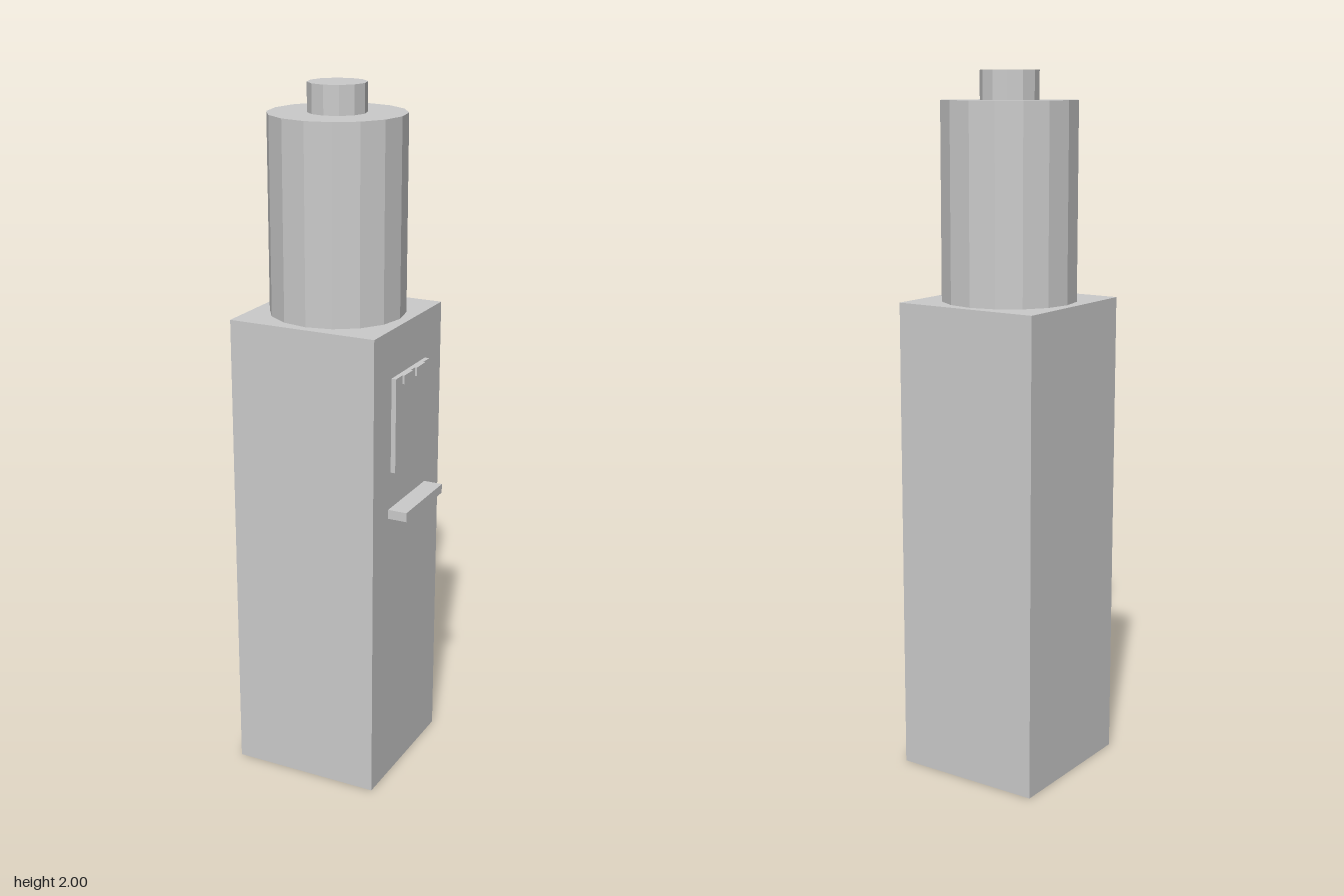
import * as THREE from 'three';

const material = new THREE.MeshStandardMaterial({ color: 0xcccccc, flatShading: true });

export function createModel() {
  const group = new THREE.Group();
  const centreX = -0.0285; // axis of cabinet and bottle
  const sideX = 0.191; // outer face of the cabinet's dispensing side

  const add = (name, geometry, x, y, z) => {
    const mesh = new THREE.Mesh(geometry, material);
    mesh.name = name;
    mesh.position.set(x, y, z);
    group.add(mesh);
  };

  // Fitting that stands out from the dispensing side
  const addFitting = (name, fromX, toX, bottom, top, width, z = 0) =>
    add(name, new THREE.BoxGeometry(toX - fromX, top - bottom, width),
      (fromX + toX) / 2, (bottom + top) / 2, z);

  // Upright faceted cylinder on the bottle axis
  const addDrum = (name, radius, bottom, top, sides) =>
    add(name, new THREE.CylinderGeometry(radius, radius, top - bottom, sides),
      centreX, (bottom + top) / 2, 0);

  // Cabinet
  add('cabinet', new THREE.BoxGeometry(0.439, 1.37, 0.439), centreX, 0.685, 0);

  // Water bottle with its neck
  addDrum('bottle', 0.192, 1.37, 1.92, 16);
  addDrum('bottleNeck', 0.082, 1.92, 2, 12);

  // Dispensing panel, pair of taps and drip tray
  addFitting('panel', sideX, 0.205, 0.96, 1.233, 0.22);
  for (const side of [-1, 1]) {
    addFitting(side > 0 ? 'frontTap' : 'backTap', 0.205, 0.211, 1.208, 1.233, 0.056, side * 0.041);
  }
  addFitting('dripTray', sideX, 0.247, 0.826, 0.853, 0.246);

  return group;
}
